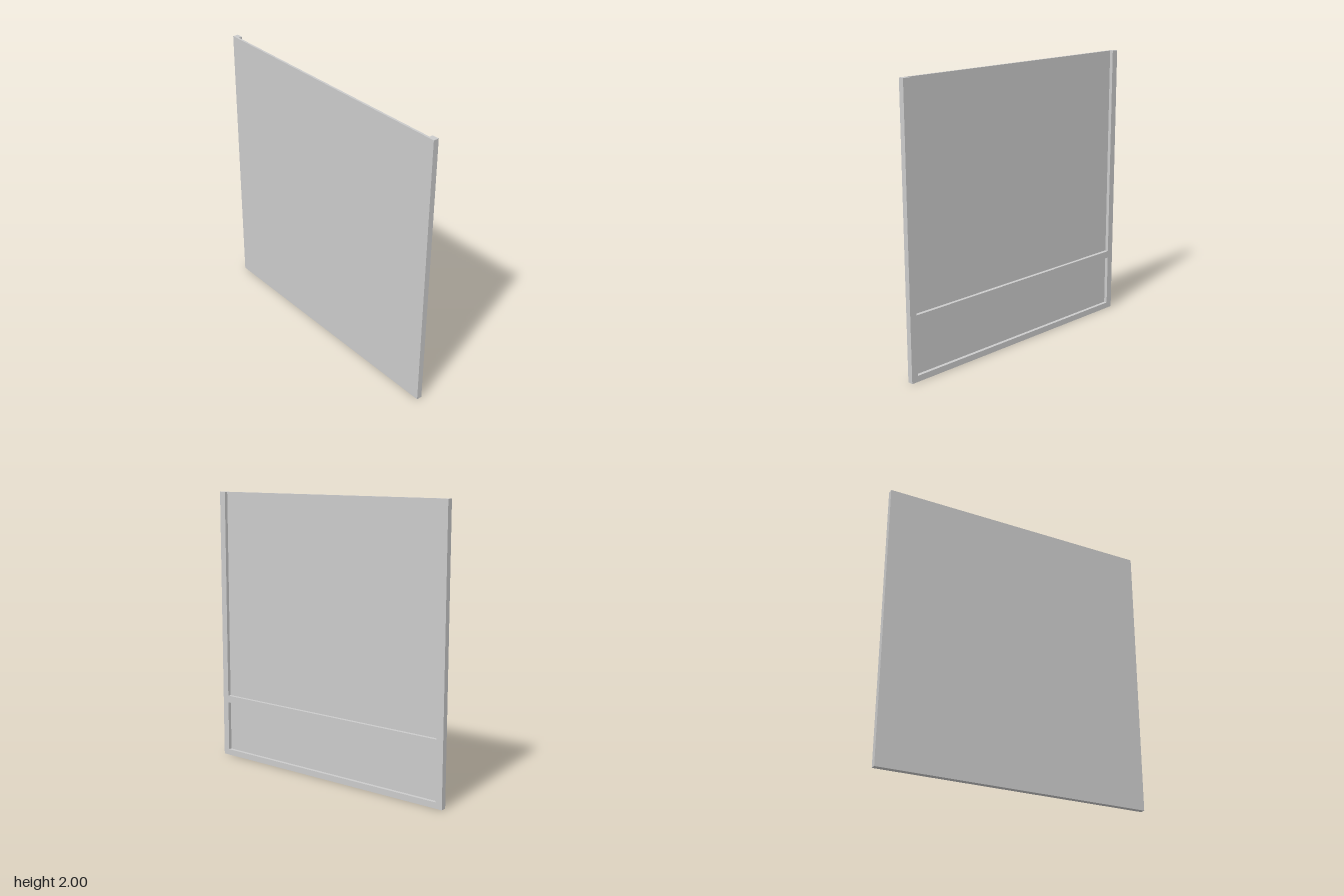
import * as THREE from 'three';

const HALF = 1, INNER = 0.95, HEIGHT = 2;
const BACK = -0.02, FACE = -0.005, FRONT = 0.02;
const BOTTOM_RAIL = 0.043, MID_LOW = 0.413, MID_HIGH = 0.465;

const points = (list) => list.map(([x, y]) => new THREE.Vector2(x, y));

export function createModel() {
  const group = new THREE.Group();
  const material = new THREE.MeshStandardMaterial({ color: 0xcccccc });

  // Thin sheet closing the back of the frame
  const panel = new THREE.Mesh(new THREE.BoxGeometry(FACE - BACK, HEIGHT, HALF * 2), material);
  panel.name = 'backPanel';
  panel.position.set((BACK + FACE) / 2, HEIGHT / 2, 0);
  group.add(panel);

  // Raised frame: two stiles, a middle rail and a bottom rail, open at the top
  const outline = new THREE.Shape(points([
    [-HALF, 0], [HALF, 0], [HALF, HEIGHT], [INNER, HEIGHT],
    [INNER, MID_HIGH], [-INNER, MID_HIGH], [-INNER, HEIGHT], [-HALF, HEIGHT],
  ]));
  // Recess between the two rails
  outline.holes.push(new THREE.Path(points([
    [-INNER, BOTTOM_RAIL], [-INNER, MID_LOW], [INNER, MID_LOW], [INNER, BOTTOM_RAIL],
  ])));
  const frameGeometry = new THREE.ExtrudeGeometry(outline, { depth: FRONT - FACE, bevelEnabled: false });
  frameGeometry.rotateY(Math.PI / 2);
  const frame = new THREE.Mesh(frameGeometry, material);
  frame.name = 'raisedFrame';
  frame.position.x = FACE;
  group.add(frame);

  return group;
}
